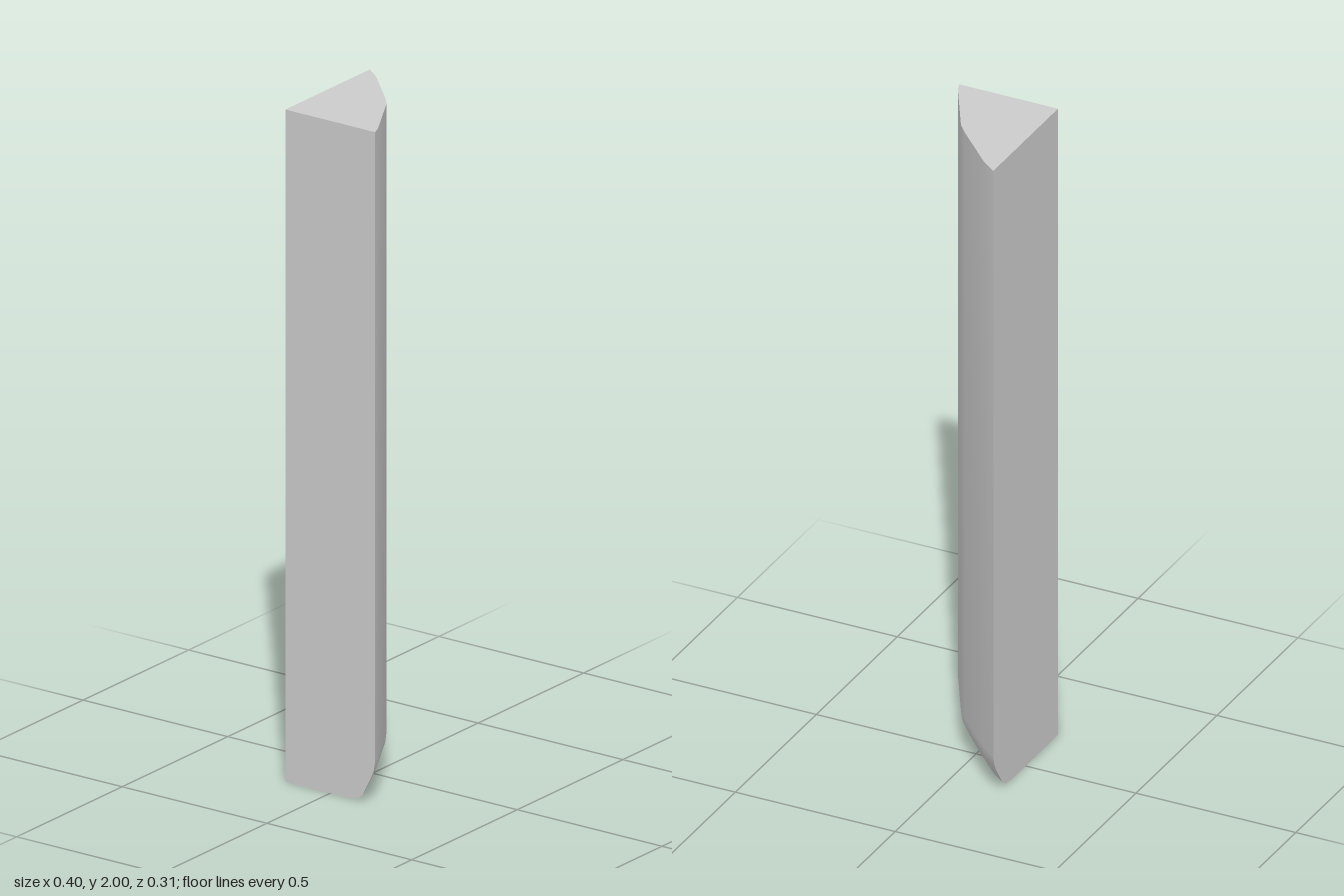
import * as THREE from 'three';
import { toCreasedNormals } from 'three/addons/utils/BufferGeometryUtils.js';

// Corner of the wedge where the two straight walls meet
const CX = -0.2, CZ = -0.155;

// Curved front edge of the cross-section, from the front tip to the side tip
const EDGE = [
  [-0.2, 0.155], [-0.17, 0.143], [0.005, 0.045], [0.04, 0.015],
  [0.165, -0.108], [0.2, -0.155],
];

// [height, scale of the section about the corner]: tapered foot, then a straight shaft
const LEVELS = [
  [0, 0.72], [0.005, 0.81], [0.02, 0.86], [0.08, 0.96],
  [0.1, 0.985], [0.13, 1], [2, 1],
];

function createWedge() {
  const rings = LEVELS.map(([y, s]) => [
    [CX, y, CZ],
    ...EDGE.map(([x, z]) => [CX + (x - CX) * s, y, CZ + (z - CZ) * s]),
  ]);
  const pos = [];
  const tri = (a, b, c) => pos.push(...a, ...b, ...c);
  const n = rings[0].length;

  // Walls between neighbouring rings
  for (let r = 0; r < rings.length - 1; r++) {
    const low = rings[r], high = rings[r + 1];
    for (let i = 0; i < n; i++) {
      const j = (i + 1) % n;
      tri(low[i], low[j], high[j]);
      tri(low[i], high[j], high[i]);
    }
  }
  // End caps, fanned from the corner
  const bottom = rings[0], top = rings[rings.length - 1];
  for (let i = 1; i < n - 1; i++) {
    tri(bottom[0], bottom[i + 1], bottom[i]);
    tri(top[0], top[i], top[i + 1]);
  }

  const geometry = new THREE.BufferGeometry();
  geometry.setAttribute('position', new THREE.Float32BufferAttribute(pos, 3));
  return toCreasedNormals(geometry, 0.3);
}

export function createModel() {
  const group = new THREE.Group();
  group.name = 'wedgePillar';
  const pillar = new THREE.Mesh(
    createWedge(),
    new THREE.MeshStandardMaterial({ color: 0xcccccc }),
  );
  pillar.name = 'pillar';
  group.add(pillar);
  return group;
}
